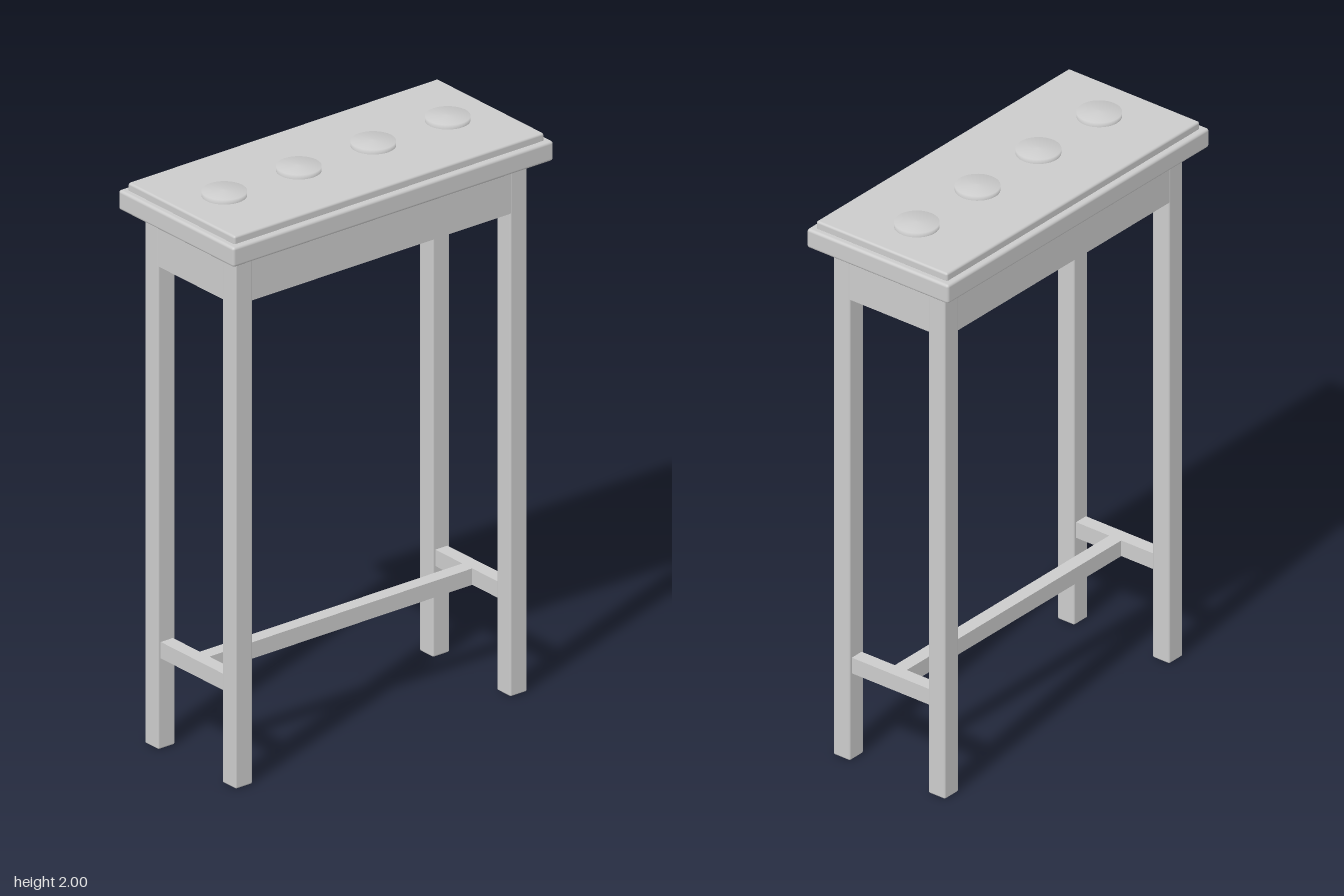
import * as THREE from 'three';
import { RoundedBoxGeometry } from 'three/addons/geometries/RoundedBoxGeometry.js';

const material = new THREE.MeshStandardMaterial({ color: 0xcccccc });

export function createModel() {
  const model = new THREE.Group();
  model.name = 'narrowTable';

  const add = (name, geometry, x, y, z) => {
    const mesh = new THREE.Mesh(geometry, material);
    mesh.name = name;
    mesh.position.set(x, y, z);
    model.add(mesh);
  };
  const box = (name, w, h, d, x, y, z) => add(name, new THREE.BoxGeometry(w, h, d), x, y, z);
  const softBox = (name, w, h, d, r, x, y, z) =>
    add(name, new RoundedBoxGeometry(w, h, d, 2, r), x, y, z);

  // Table top: thick slab with a thinner inset panel on it
  softBox('tableTop', 1.33, 0.07, 0.59, 0.01, 0, 1.918, 0);
  softBox('topPanel', 1.286, 0.034, 0.546, 0.008, 0, 1.963, 0);

  // Legs
  const leg = 0.07, legX = 0.57, legZ = 0.198, legTop = 1.883;
  for (const sx of [-1, 1]) for (const sz of [-1, 1]) {
    softBox('leg', leg, legTop, leg, 0.006, sx * legX, legTop / 2, sz * legZ);
  }

  // Apron boards, flush with the outside of the legs
  const board = 0.03, apronH = 0.173, apronY = 1.7965;
  const outX = legX + leg / 2, outZ = legZ + leg / 2;
  for (const s of [-1, 1]) {
    box('longApron', 2 * legX, apronH, board, 0, apronY, s * (outZ - board / 2 - 0.001));
    box('sideApron', board, apronH, 2 * legZ, s * (outX - board / 2 - 0.001), apronY, 0);
  }

  // H-shaped stretcher
  for (const s of [-1, 1]) {
    box('sideStretcher', 0.05, 0.058, 2 * legZ - leg, s * legX, 0.35, 0);
  }
  box('middleStretcher', 2 * legX - 0.05, 0.058, 0.05, 0, 0.35, 0);

  // Row of low round discs with softly shaded rims
  const profile = [[0.074, 0], [0.074, 0.021], [0, 0.025]].map(([r, y]) => new THREE.Vector2(r, y));
  const disc = new THREE.LatheGeometry(profile, 40);
  for (let i = 0; i < 4; i++) add('disc', disc, (i - 1.5) * 0.309, 1.975, 0);

  return model;
}
